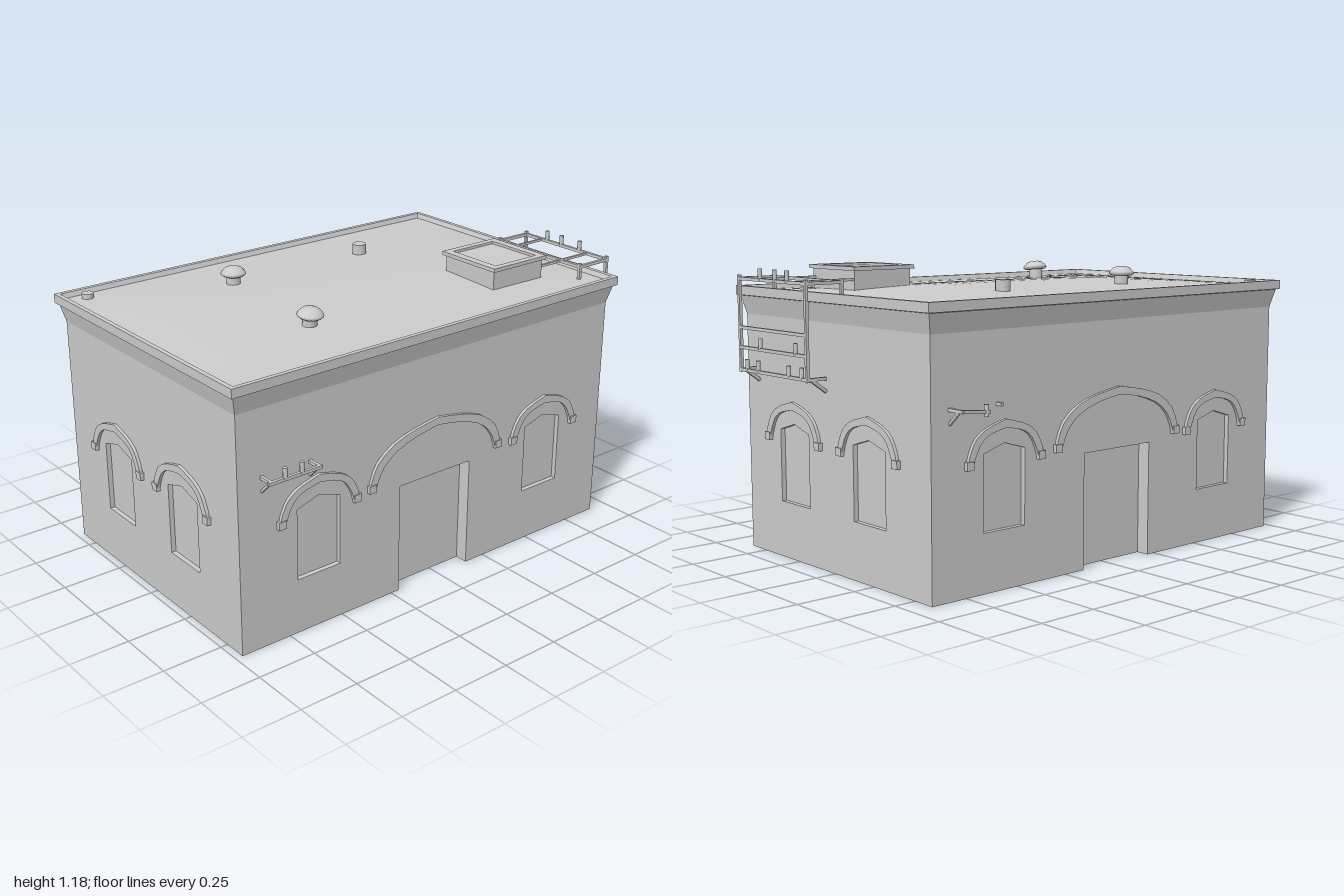
import * as THREE from 'three';

const mat = new THREE.MeshStandardMaterial({ color: 0xcccccc });
const flat = new THREE.MeshStandardMaterial({ color: 0xcccccc, flatShading: true });
const sheet = new THREE.MeshStandardMaterial({ color: 0xcccccc, flatShading: true, side: THREE.DoubleSide });
const V2 = (x, y) => new THREE.Vector2(x, y);
const X = 0.6, ZF = 0.97, ZB = -0.91, WALL_TOP = 0.975;

function add(parent, name, geo, material = mat, x = 0, y = 0, z = 0) {
  const m = new THREE.Mesh(geo, material);
  m.name = name;
  m.position.set(x, y, z);
  parent.add(m);
  return m;
}

// Skin of quads between consecutive rings of points
function skin(rings, closed) {
  const pos = [];
  for (let i = 0; i + 1 < rings.length; i++) {
    const a = rings[i], b = rings[i + 1], n = a.length;
    for (let j = 0; j < (closed ? n : n - 1); j++) {
      const k = (j + 1) % n;
      for (const p of [a[j], a[k], b[k], a[j], b[k], b[j]]) pos.push(...p);
    }
  }
  const g = new THREE.BufferGeometry();
  g.setAttribute('position', new THREE.Float32BufferAttribute(pos, 3));
  g.computeVertexNormals();
  return g;
}

// Square bar between two points
function bar(parent, name, a, b, t = 0.013) {
  const p = new THREE.Vector3(...a), q = new THREE.Vector3(...b);
  const m = add(parent, name, new THREE.BoxGeometry(t, t, p.distanceTo(q)), flat);
  m.position.copy(p).add(q).multiplyScalar(0.5);
  m.lookAt(q);
}

const peg = (parent, x, y, z) =>
  add(parent, 'insulator', new THREE.CylinderGeometry(0.009, 0.009, 0.045, 8), mat, x, y + 0.022, z);

const windowOutline = c => [V2(c - 0.1, 0.23), V2(c + 0.1, 0.23), V2(c + 0.1, 0.525), V2(c, 0.555), V2(c - 0.1, 0.525)];
const doorOutline = c => [V2(c + 0.183, 0), V2(c + 0.183, 0.465), V2(c - 0.183, 0.465), V2(c - 0.183, 0)];

// Recess sides and back panel
function recess(parent, name, pts, depth, closed) {
  const ring = z => pts.map(p => [p.x, p.y, z]);
  add(parent, name + 'Reveal', skin([ring(0), ring(-depth)], closed), sheet);
  add(parent, name + 'Panel', new THREE.ShapeGeometry(new THREE.Shape(pts)), sheet, 0, 0, -depth);
}

// Pointed hood moulding; half curves run from apex to foot
const SMALL = {
  outer: [[0, 0.645], [0.09, 0.62], [0.145, 0.585], [0.174, 0.535], [0.183, 0.505]],
  inner: [[0, 0.613], [0.08, 0.595], [0.123, 0.565], [0.15, 0.515], [0.157, 0.49]],
  foot: [0.176, 0.49]
};
const LARGE = {
  outer: [[0, 0.712], [0.12, 0.692], [0.225, 0.66], [0.305, 0.6], [0.335, 0.535], [0.339, 0.515]],
  inner: [[0, 0.68], [0.11, 0.662], [0.21, 0.628], [0.275, 0.578], [0.306, 0.52], [0.31, 0.5]],
  foot: [0.331, 0.503]
};
function hood(parent, c, h) {
  const half = (pts, s) => new THREE.SplineCurve(pts.map(p => V2(c + s * p[0], p[1]))).getPoints(10);
  const outline = [
    ...half(h.outer, -1).reverse(), ...half(h.outer, 1).slice(1),
    ...half(h.inner, 1).reverse(), ...half(h.inner, -1).slice(1)
  ];
  add(parent, 'hoodMoulding', new THREE.ExtrudeGeometry(new THREE.Shape(outline), { depth: 0.013, bevelEnabled: false }), flat);
  for (const s of [-1, 1])
    add(parent, 'hoodFoot', new THREE.BoxGeometry(0.034, 0.032, 0.017), flat, c + s * h.foot[0], h.foot[1], 0.0085);
}

// Wall in its own plane: x along, z outward
function wall(parent, name, u0, u1, windows, door) {
  const g = new THREE.Group();
  g.name = name;
  const base = [V2(u1, 0), V2(u1, WALL_TOP), V2(u0, WALL_TOP), V2(u0, 0)];
  const shape = new THREE.Shape(door === undefined ? base : [...base, ...doorOutline(door).reverse()]);
  for (const c of windows) {
    shape.holes.push(new THREE.Path(windowOutline(c)));
    recess(g, 'window', windowOutline(c), 0.02, true);
    hood(g, c, SMALL);
  }
  if (door !== undefined) {
    recess(g, 'door', doorOutline(door), 0.055, false);
    hood(g, door, LARGE);
  }
  add(g, 'wallFace', new THREE.ShapeGeometry(shape), sheet);
  parent.add(g);
  return g;
}

const roofHeight = (x, z) => {
  const edge = Math.max(0, 1 - (x / X) ** 2) * Math.max(0, 1 - ((z - 0.03) / 0.94) ** 4);
  return 1.07 + edge * (0.024 + 0.005 * Math.sin(7 * x + 1.5) * Math.cos(3 * z));
};

function roof(parent) {
  // Flared cornice and rim: outward offset and height
  const profile = [[0, WALL_TOP], [0.006, 1.0], [0.018, 1.05], [0.031, 1.053], [0.031, 1.09], [0.012, 1.09], [0.004, 1.07]];
  const rings = profile.map(([o, y]) => [[-X - o, y, ZF + o], [X + o, y, ZF + o], [X + o, y, ZB - o], [-X - o, y, ZB - o]]);
  add(parent, 'cornice', skin(rings, true), sheet);

  // Gently sagging roof deck
  const deck = new THREE.PlaneGeometry(2 * X + 0.01, ZF - ZB + 0.01, 16, 20).rotateX(-Math.PI / 2).translate(0, 0, (ZF + ZB) / 2);
  const p = deck.attributes.position;
  for (let i = 0; i < p.count; i++) p.setY(i, roofHeight(p.getX(i), p.getZ(i)));
  deck.computeVertexNormals();
  add(parent, 'roofDeck', deck, new THREE.MeshStandardMaterial({ color: 0xcccccc, side: THREE.DoubleSide }));

  // Domed vents
  for (const [x, z, tilt] of [[-0.3, 0.355, 0], [0.287, 0.41, -0.12]]) {
    const vent = new THREE.Group();
    vent.name = 'domedVent';
    vent.position.set(x, 1.07, z);
    vent.rotation.z = tilt;
    add(vent, 'ventStem', new THREE.CylinderGeometry(0.029, 0.029, 0.07, 16), mat, 0, 0.03, 0);
    const cap = [V2(0, 0.052), V2(0.044, 0.052), V2(0.053, 0.06), V2(0.05, 0.067), V2(0.035, 0.083), V2(0.018, 0.089), V2(0, 0.09)];
    add(vent, 'ventCap', new THREE.LatheGeometry(cap, 20));
    parent.add(vent);
  }
  // Pipe stubs
  add(parent, 'pipeStub', new THREE.CylinderGeometry(0.03, 0.03, 0.06, 16), mat, -0.302, 1.1, -0.31);
  add(parent, 'pipeStub', new THREE.CylinderGeometry(0.024, 0.024, 0.04, 16), mat, -0.555, 1.072, 0.89);

  // Roof hatch with raised frame
  const hatch = new THREE.Group();
  hatch.name = 'roofHatch';
  hatch.position.set(0.273, 0, -0.568);
  add(hatch, 'hatchBody', new THREE.BoxGeometry(0.285, 0.1, 0.275), flat, 0, 1.115, 0);
  const rect = (w, h) => [V2(-w, -h), V2(w, -h), V2(w, h), V2(-w, h)];
  const frame = new THREE.Shape(rect(0.156, 0.149));
  frame.holes.push(new THREE.Path(rect(0.127, 0.114)));
  add(hatch, 'hatchFrame', new THREE.ExtrudeGeometry(frame, { depth: 0.016, bevelEnabled: false }).rotateX(-Math.PI / 2), flat, 0, 1.16, 0);
  parent.add(hatch);
}

// Wire rack hung over the back edge
function backRack(parent) {
  const g = new THREE.Group();
  g.name = 'backRack';
  const x0 = 0.042, x1 = 0.515, zo = -0.993, zi = -0.83, top = 1.125;
  for (const x of [x0, x1]) {
    bar(g, 'rackUpright', [x, 0.75, zo], [x, 1.14, zo]);
    bar(g, 'rackPost', [x, 1.07, zi], [x, 1.14, zi]);
    bar(g, 'rackTopArm', [x, top, zi], [x, top, zo]);
    bar(g, 'rackLowArm', [x, 0.76, ZB], [x, 0.76, zo]);
    bar(g, 'rackBrace', [x, 0.71, ZB], [x, 0.757, -0.975]);
  }
  for (const x of [0.14, 0.405]) bar(g, 'rackTie', [x, top, -0.7], [x, top, zo], 0.01);
  bar(g, 'rackInnerBar', [x0, top, zi], [x1, top, zi]);
  for (const y of [0.76, 0.85, 0.93, top]) bar(g, 'rackBar', [x0, y, zo], [x1, y, zo]);
  for (const x of [0.17, 0.255, 0.36]) peg(g, x, top, zo);
  for (const x of [0.12, 0.37]) peg(g, x, 0.85, zo);
  for (const x of [0.08, 0.17, 0.39, 0.47]) peg(g, x, 0.76, zo);
  parent.add(g);
}

function sideRacks(parent) {
  // Intact rack on the left side
  const l = new THREE.Group();
  l.name = 'leftRack';
  for (const z of [0.65, 0.865]) {
    bar(l, 'rackArm', [X, 0.705, z], [0.668, 0.705, z]);
    bar(l, 'rackBrace', [X, 0.65, z], [0.652, 0.7, z], 0.01);
  }
  bar(l, 'rackBar', [0.661, 0.705, 0.642], [0.661, 0.705, 0.88]);
  for (const z of [0.73, 0.805]) peg(l, 0.661, 0.705, z);
  parent.add(l);

  // Damaged rack on the right side, outer bar swung loose
  const r = new THREE.Group();
  r.name = 'rightRack';
  bar(r, 'rackArm', [-X, 0.703, -0.825], [-0.677, 0.703, -0.825]);
  bar(r, 'rackBrace', [-X, 0.65, -0.825], [-0.652, 0.697, -0.825], 0.01);
  bar(r, 'rackArm', [-X, 0.703, -0.6], [-0.628, 0.703, -0.6]);
  bar(r, 'rackBar', [-0.672, 0.703, -0.825], [-0.664, 0.69, -0.695]);
  peg(r, -0.667, 0.675, -0.71);
  parent.add(r);
}

export function createModel() {
  const model = new THREE.Group();
  model.name = 'building';
  wall(model, 'frontWall', -X, X, [-0.243, 0.228]).position.z = ZF;
  const back = wall(model, 'backWall', -X, X, [-0.267, 0.23]);
  back.position.z = ZB;
  back.rotation.y = Math.PI;
  // Side walls share their layout
  for (const s of [1, -1]) {
    const ends = [-s * ZF, -s * ZB].sort((a, b) => a - b);
    const side = wall(model, s > 0 ? 'leftWall' : 'rightWall', ...ends, [-s * 0.61, s * 0.565], -s * 0.03);
    side.position.x = s * X;
    side.rotation.y = s * Math.PI / 2;
  }
  roof(model);
  backRack(model);
  sideRacks(model);
  return model;
}
